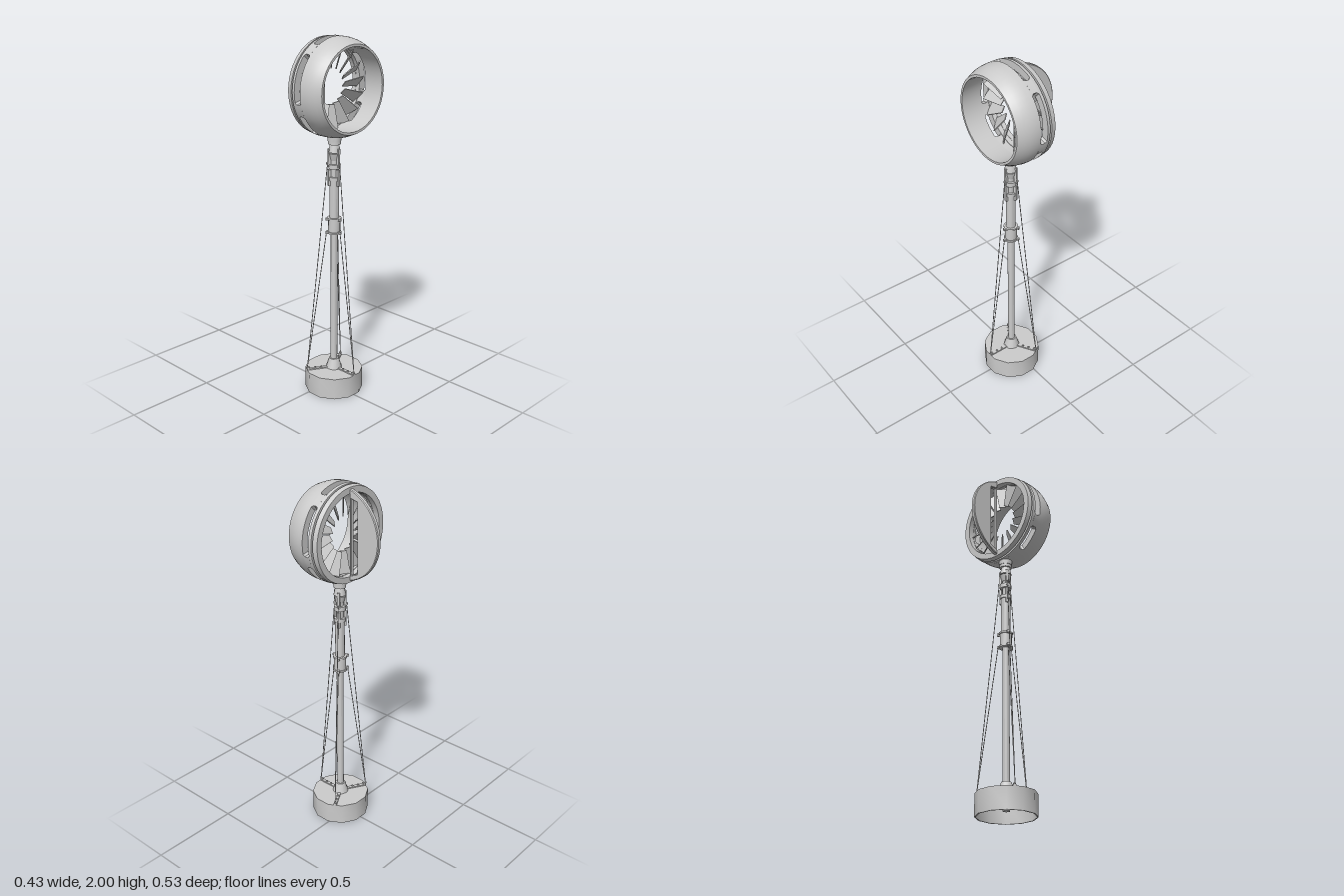
import * as THREE from 'three';
import { toCreasedNormals } from 'three/addons/utils/BufferGeometryUtils.js';

const grey = new THREE.MeshStandardMaterial({ color: 0xcccccc });
const AXIS_X = 0.047; // mast axis
const HUB_Y = 1.737; // rotor axis height
const rad = THREE.MathUtils.degToRad;

function add(parent, name, geo, x = 0, y = 0, z = 0, crease = 0.7) {
  const mesh = new THREE.Mesh(toCreasedNormals(geo, crease), grey);
  mesh.name = name;
  mesh.position.set(x, y, z);
  parent.add(mesh);
  return mesh;
}

function lathe(points, segments, start = 0) {
  return new THREE.LatheGeometry(points.map(p => new THREE.Vector2(...p)), segments, start);
}

// Thin rod between two points
function rod(parent, name, a, b, r, sides = 6) {
  const dir = b.clone().sub(a);
  const mid = a.clone().add(b).multiplyScalar(0.5);
  const mesh = add(parent, name, new THREE.CylinderGeometry(r, r, dir.length(), sides), mid.x, mid.y, mid.z, 1.2);
  mesh.quaternion.setFromUnitVectors(new THREE.Vector3(0, 1, 0), dir.normalize());
}

// Ring around the rotor axis, from a closed [radius, x] section
function ring(parent, name, points) {
  add(parent, name, lathe([...points, points[0]], 48).rotateZ(-Math.PI / 2), 0, 0, 0, 0.4);
}

// Shroud piece between two slots, flaring where it meets the rings
function slotBridge(parent, centre, half) {
  const shape = new THREE.Shape();
  const a0 = rad(90 - half), a1 = rad(90 + half);
  shape.absarc(0, 0, 0.263, a0, a1, false);
  shape.absarc(0, 0, 0.225, a1, a0, true);
  const geo = new THREE.ExtrudeGeometry(shape, { depth: 0.04, steps: 4, bevelEnabled: false, curveSegments: 10 });
  const p = geo.attributes.position;
  for (let i = 0; i < p.count; i++) {
    const z = p.getZ(i);
    const flare = z < 0.001 || z > 0.039 ? (half + 2.2) / half : 1;
    const r = Math.hypot(p.getX(i), p.getY(i));
    const a = Math.atan2(p.getX(i), p.getY(i)) * flare;
    p.setXY(i, r * Math.sin(a), r * Math.cos(a));
  }
  geo.rotateY(Math.PI / 2).rotateX(rad(centre)).translate(0.02, 0, 0);
  add(parent, 'slotBridge', geo, 0, 0, 0, 0.4);
}

function createTurbine() {
  const turbine = new THREE.Group();
  turbine.name = 'turbine';
  turbine.position.y = HUB_Y;

  // Shroud rings: rear ring, groove, narrow ring and curved front cowl
  ring(turbine, 'rearRing', [[0.222, -0.033], [0.255, -0.033], [0.26, -0.007], [0.222, -0.007]]);
  ring(turbine, 'groove', [[0.224, -0.008], [0.247, -0.008], [0.247, 0.004], [0.224, 0.004]]);
  ring(turbine, 'middleRing', [[0.222, 0.003], [0.261, 0.003], [0.263, 0.02], [0.222, 0.02]]);
  ring(turbine, 'frontCowl', [[0.225, 0.06], [0.263, 0.06], [0.262, 0.09], [0.257, 0.12], [0.247, 0.15],
    [0.232, 0.183], [0.219, 0.183], [0.222, 0.12]]);
  for (const side of [-1, 1]) {
    slotBridge(turbine, side * 37, 8);
    slotBridge(turbine, side * 111, 7.5);
  }
  slotBridge(turbine, 180, 29);

  // Pitched blades hanging inward from the rim, open in the middle
  const blades = 16;
  for (let i = 0; i < blades; i++) {
    const geo = new THREE.BoxGeometry(0.005, 0.13, 1);
    const p = geo.attributes.position;
    for (let k = 0; k < p.count; k++) p.setZ(k, p.getZ(k) * (p.getY(k) > 0 ? 0.076 : 0.036));
    geo.rotateY(0.7).translate(0.022, 0.16, 0).rotateX((i / blades) * Math.PI * 2);
    add(turbine, 'blade', geo);
  }

  // Half-round tail fin with a tall window
  const fin = new THREE.Shape();
  fin.absarc(0.035, 0, 0.25, rad(106), rad(254), false);
  const win = new THREE.Path();
  win.moveTo(-0.085, -0.198).lineTo(-0.037, -0.217).lineTo(-0.037, 0.2).lineTo(-0.085, 0.19).closePath();
  fin.holes.push(win);
  const finGeo = new THREE.ExtrudeGeometry(fin, {
    depth: 0.016, curveSegments: 28, bevelSize: 0.004, bevelThickness: 0.004, bevelSegments: 1,
  });
  add(turbine, 'tailFin', finGeo, 0, 0, -0.008, 0.4);
  return turbine;
}

function createMast() {
  const mast = new THREE.Group();
  mast.name = 'mast';
  mast.position.x = AXIS_X;
  const tube = (name, r0, r1, y0, y1, sides = 16) =>
    add(mast, name, new THREE.CylinderGeometry(r1, r0, y1 - y0, sides), 0, (y0 + y1) / 2, 0);

  tube('lowerPole', 0.019, 0.019, 0.03, 0.95);
  tube('footCone', 0.046, 0.028, 0.12, 0.18, 12);
  tube('collar', 0.033, 0.033, 0.935, 1.025);
  tube('collarFlange', 0.039, 0.039, 0.935, 0.945);
  tube('collarFlange', 0.039, 0.039, 1.015, 1.025);
  tube('upperPole', 0.026, 0.026, 1.02, 1.25);
  tube('neck', 0.019, 0.019, 1.24, 1.45);
  tube('clampRing', 0.031, 0.031, 1.235, 1.255);
  tube('clampRing', 0.032, 0.032, 1.3, 1.325);
  tube('clampCone', 0.022, 0.033, 1.345, 1.385, 12);
  tube('swivelCone', 0.034, 0.024, 1.39, 1.435, 12);
  tube('swivelDisc', 0.034, 0.034, 1.433, 1.45);
  tube('topFlange', 0.036, 0.038, 1.45, 1.5, 20);

  // Lugs repeated around the mast
  for (let i = 0; i < 3; i++) {
    const arm = new THREE.Group();
    arm.name = 'lugSet';
    arm.rotation.y = (i * Math.PI * 2) / 3;
    mast.add(arm);
    add(arm, 'collarLug', new THREE.BoxGeometry(0.018, 0.014, 0.012), 0.04, 1.018);
    add(arm, 'collarLug', new THREE.BoxGeometry(0.018, 0.014, 0.012), 0.04, 0.942);
    add(arm, 'lowerBracket', new THREE.BoxGeometry(0.014, 0.09, 0.016), 0.028, 1.25);
    add(arm, 'upperBracket', new THREE.BoxGeometry(0.014, 0.1, 0.014), 0.029, 1.36);
    add(arm, 'wireEye', new THREE.TorusGeometry(0.007, 0.0025, 6, 12), 0.037, 1.33);
  }
  return mast;
}

function createBase() {
  const base = new THREE.Group();
  base.name = 'base';
  base.position.x = AXIS_X;

  // Twelve-sided drum, open underneath
  const drum = [[0.157, 0], [0.163, 0], [0.163, 0.122], [0, 0.122], [0, 0.115], [0.157, 0.115], [0.157, 0]];
  add(base, 'drum', lathe(drum, 12, Math.PI / 12));

  // Radial ribs, anchors and guy wires, three ways
  for (let i = 0; i < 3; i++) {
    const arm = new THREE.Group();
    arm.name = 'guyArm';
    arm.rotation.y = (i * Math.PI * 2) / 3;
    base.add(arm);
    add(arm, 'topRib', new THREE.BoxGeometry(0.12, 0.008, 0.018), 0.095, 0.125);
    add(arm, 'underRib', new THREE.BoxGeometry(0.142, 0.05, 0.008), 0.086, 0.091);
    add(arm, 'anchorBlock', new THREE.BoxGeometry(0.016, 0.016, 0.012), 0.15, 0.13);
    add(arm, 'anchorEye', new THREE.TorusGeometry(0.006, 0.002, 6, 12), 0.156, 0.137);
    for (const r of [0.075, 0.11])
      add(arm, 'bolt', new THREE.CylinderGeometry(0.005, 0.005, 0.008, 6), r, 0.132);
    const foot = new THREE.Vector3(0.157, 0.137, 0);
    rod(arm, 'lowerWire', foot, new THREE.Vector3(0.044, 0.942, 0), 0.0022);
    rod(arm, 'upperWire', foot, new THREE.Vector3(0.038, 1.33, 0), 0.0022);
  }
  return base;
}

export function createModel() {
  const model = new THREE.Group();
  model.name = 'ductedWindTurbine';
  model.add(createBase(), createMast(), createTurbine());
  return model;
}
